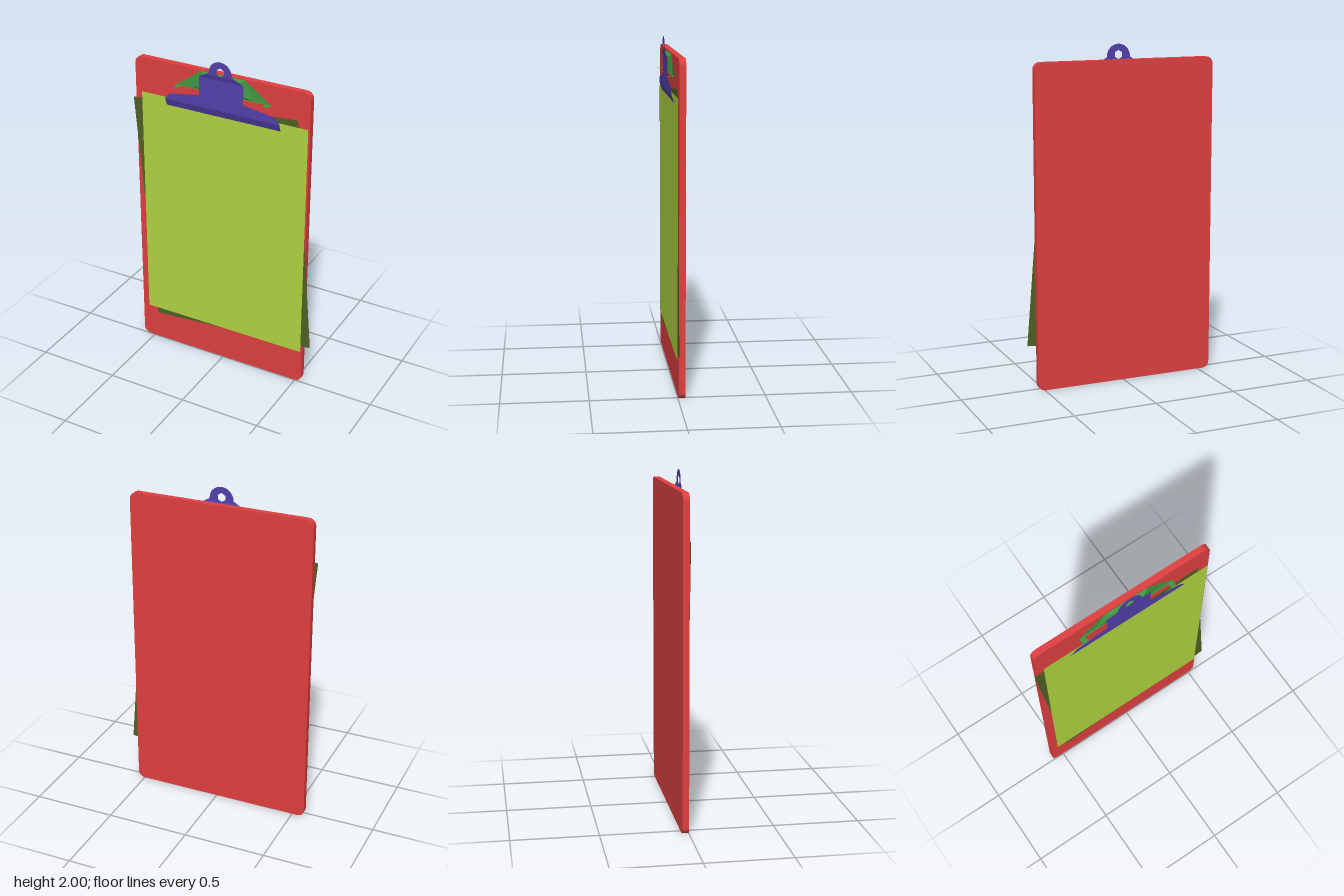
import * as THREE from 'three';

const paint = (color) => new THREE.MeshStandardMaterial({ color, side: THREE.DoubleSide, flatShading: true });
const RED = paint(0xe04040), LIME = paint(0xafd540), OLIVE = paint(0x506024);
const PURPLE = paint(0x5440ac), GREEN = paint(0x409840);

const polygon = (pts) => new THREE.Shape(pts.map(([x, y]) => new THREE.Vector2(x, y)));

// Folded sheet from rows of [y, z, half width]
function foldedSheet(rows) {
  const pos = [], index = [];
  rows.forEach(([y, z, w], i) => {
    pos.push(-w, y, z, w, y, z);
    const a = i * 2;
    if (i) index.push(a - 2, a - 1, a + 1, a - 2, a + 1, a);
  });
  const g = new THREE.BufferGeometry();
  g.setAttribute('position', new THREE.Float32BufferAttribute(pos, 3));
  g.setIndex(index);
  g.computeVertexNormals();
  return g;
}

export function createModel() {
  const model = new THREE.Group();
  const add = (name, geometry, material, parent = model) => {
    const mesh = new THREE.Mesh(geometry, material);
    mesh.name = name;
    parent.add(mesh);
    return mesh;
  };

  // Backing board with rounded corners
  const x0 = -0.575, x1 = 0.54, top = 1.915, r = 0.042;
  const outline = new THREE.Shape();
  outline.absarc(x1 - r, top - r, r, 0, Math.PI / 2);
  outline.absarc(x0 + r, top - r, r, Math.PI / 2, Math.PI);
  outline.absarc(x0 + r, r, r, Math.PI, Math.PI * 1.5);
  outline.absarc(x1 - r, r, r, Math.PI * 1.5, Math.PI * 2);
  const board = new THREE.ExtrudeGeometry(outline, { depth: 0.037, bevelEnabled: false, curveSegments: 3 });
  add('board', board, RED).position.z = -0.04;

  // Two sheets of paper, the rear one slipped round
  const sheet = new THREE.PlaneGeometry(1.064, 1.48);
  add('frontPaper', sheet, LIME).position.set(0, 0.962, 0.004);
  const rear = add('rearPaper', sheet, OLIVE);
  rear.position.set(0, 0.962, 0.0005);
  rear.rotation.z = 0.0847;

  // Clip jaw: gripping lip, wings, neck and bend up to the hanging ring
  const clip = new THREE.Group();
  clip.name = 'clip';
  model.add(clip);
  add('clipJaw', foldedSheet([
    [1.655, 0.005, 0.365], [1.7, 0.022, 0.365], [1.705, 0.022, 0.365], [1.74, 0.022, 0.33],
    [1.77, 0.022, 0.14], [1.885, 0.022, 0.14], [1.912, 0.031, 0.095],
  ]), PURPLE, clip);

  // Hanging ring with a six-sided hole
  const ring = new THREE.Shape();
  ring.moveTo(-0.095, 1.912);
  ring.lineTo(0.095, 1.912);
  ring.lineTo(0.073, 1.924);
  ring.absarc(0, 1.927, 0.073, 0, Math.PI);
  ring.lineTo(-0.073, 1.924);
  const hole = [];
  for (let i = 0; i < 6; i++) {
    const a = Math.PI / 2 - i * Math.PI / 3;
    hole.push([0.026 * Math.cos(a), 1.938 + 0.026 * Math.sin(a)]);
  }
  ring.holes.push(polygon(hole));
  add('hangingRing', new THREE.ShapeGeometry(ring, 8), PURPLE, clip).position.z = 0.031;

  // Spring bracket: flat plate
  const bracket = new THREE.Group();
  bracket.name = 'springBracket';
  model.add(bracket);
  add('bracketPlate', new THREE.ShapeGeometry(polygon([
    [-0.3, 1.795], [0.3, 1.795], [0.14, 1.91], [-0.14, 1.91],
  ])), GREEN, bracket).position.z = -0.001;

  // Raised middle, a box whose back spreads out to the plate
  const bump = new THREE.BoxGeometry(0.2, 0.07, 0.02);
  const p = bump.attributes.position;
  for (let i = 0; i < p.count; i++) {
    if (p.getZ(i) < 0) {
      const low = p.getY(i) < 0;
      p.setXY(i, Math.sign(p.getX(i)) * (low ? 0.19 : 0.14), low ? -0.058 : 0.054);
    }
  }
  bump.computeVertexNormals();
  add('bracketBump', bump, GREEN, bracket).position.set(0, 1.855, 0.009);

  // Level ledge along the bottom with a prong at each end
  const ledge = new THREE.ShapeGeometry(polygon([
    [-0.3, 0], [0.3, 0], [0.3, 0.03], [0.29, 0.04], [0.275, 0.04], [0.266, 0.03], [0.266, 0.007],
    [-0.266, 0.007], [-0.266, 0.03], [-0.275, 0.04], [-0.29, 0.04], [-0.3, 0.03],
  ]));
  ledge.rotateX(Math.PI / 2);
  add('bracketLedge', ledge, GREEN, bracket).position.set(0, 1.795, -0.001);

  return model;
}
